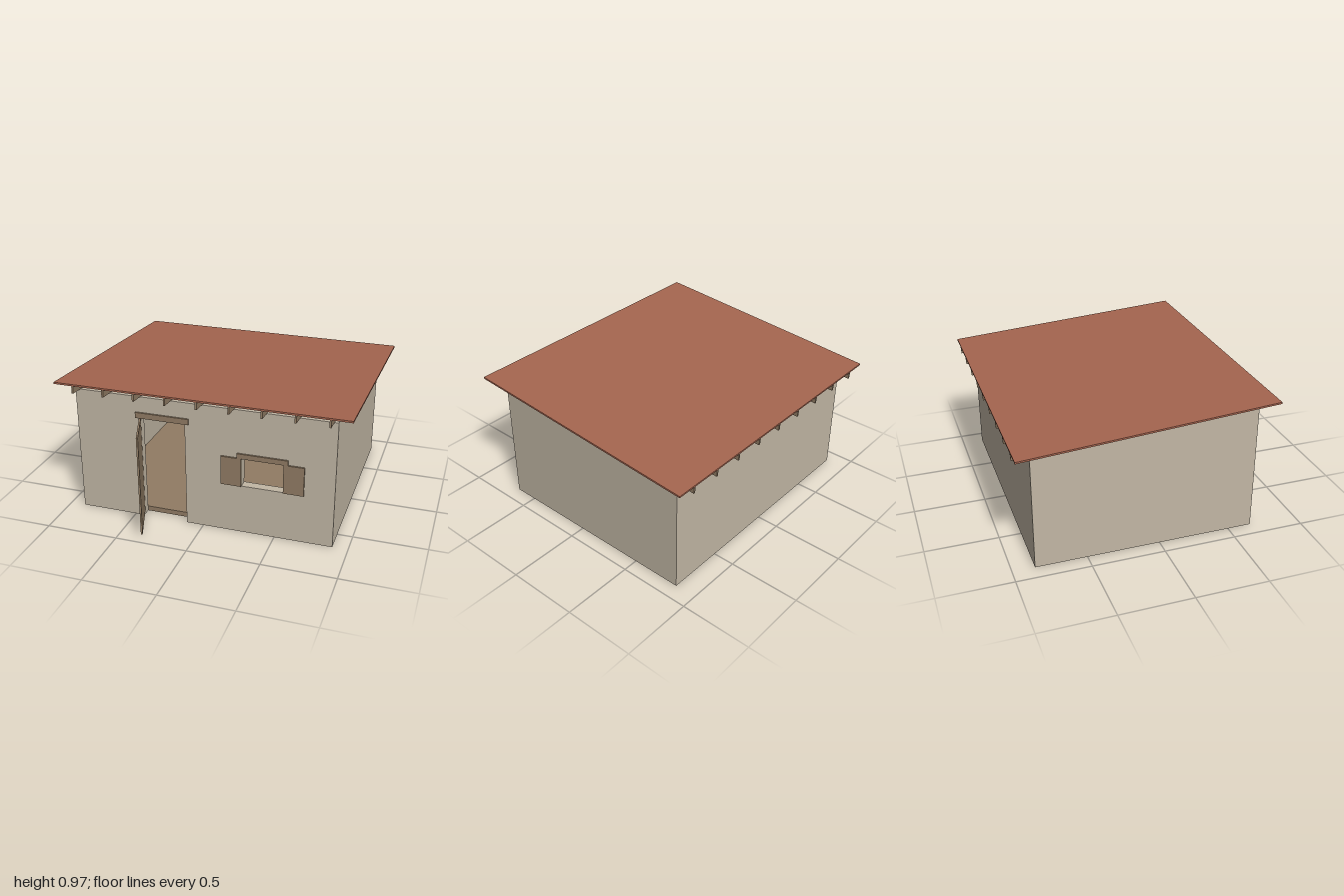
import * as THREE from 'three';

const W = 0.895, FRONT = 0.665, BACK = -0.85, T = 0.065; // wall extents and thickness
const SLOPE = 0.0678, MID = -0.0975;
const wallTop = z => 0.847 + SLOPE * (z - MID); // underside of the rafters

export function createModel() {
  const model = new THREE.Group();
  model.name = 'hut';
  const material = (name, color) => {
    const m = new THREE.MeshStandardMaterial({ color });
    m.name = name;
    return m;
  };
  const plaster = material('plaster', 0xc2b7a5);
  const wood = material('wood', 0x917c64);
  const tile = material('roofRed', 0xa5654f);

  const add = (name, geometry, mat, x = 0, y = 0, z = 0, parent = model) => {
    const mesh = new THREE.Mesh(geometry, mat);
    mesh.name = name;
    mesh.position.set(x, y, z);
    parent.add(mesh);
    return mesh;
  };
  // Box given by its minimum and maximum corners
  const box = (name, mat, [x0, y0, z0], [x1, y1, z1], parent) =>
    add(name, new THREE.BoxGeometry(x1 - x0, y1 - y0, z1 - z0), mat,
      (x0 + x1) / 2, (y0 + y1) / 2, (z0 + z1) / 2, parent);
  const polygon = pts => new THREE.Shape(pts.map(p => new THREE.Vector2(...p)));
  const extrude = (shape, depth) =>
    new THREE.ExtrudeGeometry(shape, { depth, bevelEnabled: false });

  // Front wall with doorway notch and window hole
  const wi = W - T, top = wallTop(FRONT) - 0.002;
  const front = polygon([[-W, 0], [-0.435, 0], [-0.435, 0.745], [-0.12, 0.745],
    [-0.12, 0], [W, 0], [W, top], [-W, top]]);
  front.holes.push(new THREE.Path(
    [[0.27, 0.35], [0.27, 0.56], [0.555, 0.56], [0.555, 0.35]].map(p => new THREE.Vector2(...p))));
  add('frontWall', extrude(front, T), plaster, 0, 0, FRONT - T);

  // Back wall and sloping side walls
  box('backWall', plaster, [-W, 0, BACK], [W, wallTop(BACK), BACK + T]);
  const zf = FRONT - T, zb = BACK + T;
  const side = extrude(polygon([[zb, 0], [zf, 0], [zf, wallTop(zf)], [zb, wallTop(zb)]]), T);
  side.rotateY(-Math.PI / 2);
  add('leftWall', side, plaster, W);
  add('rightWall', side, plaster, -wi);

  // Floor slab inside the walls
  box('floor', wood, [-wi, 0, zb], [wi, 0.035, zf]);

  // Tilted roof sheet on a row of rafters
  const roof = new THREE.Group();
  roof.name = 'roof';
  roof.position.set(0, 0.9085, MID);
  roof.rotation.x = -Math.atan(SLOPE);
  model.add(roof);
  box('roofSheet', tile, [-1, -0.012, -0.8645], [1, 0, 0.8645], roof);
  for (let i = -4; i <= 4; i++) {
    const x = i * 0.2155;
    box('rafter', wood, [x - 0.006, -0.0615, -0.8645], [x + 0.006, -0.012, 0.867], roof);
  }

  // Open door swung outward on its hinge
  const door = new THREE.Group();
  door.name = 'door';
  door.position.set(-0.435, 0, FRONT);
  door.rotation.y = -1.224;
  model.add(door);
  box('doorPanel', wood, [0, 0.035, -0.006], [0.308, 0.745, 0.006], door);

  // Lintels and folded-back shutters
  const zs = FRONT + 0.012;
  box('doorLintel', wood, [-0.465, 0.745, FRONT - 0.02], [-0.09, 0.785, zs]);
  box('windowLintel', wood, [0.24, 0.555, FRONT - 0.02], [0.585, 0.59, zs]);
  box('rightShutter', wood, [0.13, 0.35, FRONT], [0.27, 0.555, zs]);
  box('leftShutter', wood, [0.555, 0.35, FRONT], [0.693, 0.555, zs]);

  // Shelf with brackets on the back wall
  box('shelf', wood, [-0.515, 0.485, zb], [0.515, 0.495, zb + 0.14]);
  for (const s of [-1, 1]) {
    box('shelfBracket', wood, [s * 0.412 - 0.006, 0.432, zb], [s * 0.412 + 0.006, 0.485, zb + 0.1]);
  }
  return model;
}
